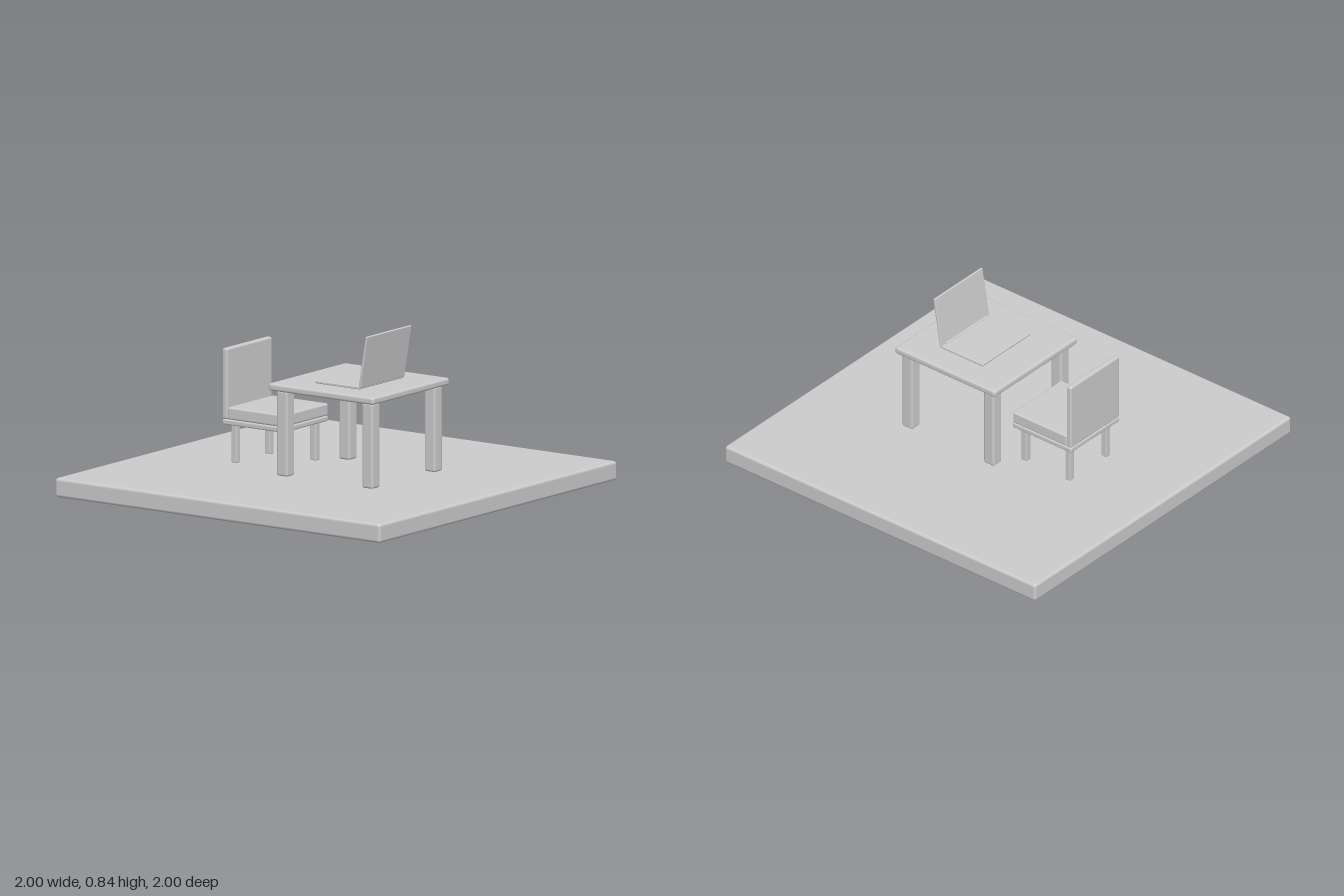
import * as THREE from 'three';
import { RoundedBoxGeometry } from 'three/addons/geometries/RoundedBoxGeometry.js';

const material = new THREE.MeshStandardMaterial({ color: 0xcccccc });

// Rounded box given by its extents along each axis
function block(name, [x0, x1], [y0, y1], [z0, z1], radius) {
  const geometry = new RoundedBoxGeometry(x1 - x0, y1 - y0, z1 - z0, 3, radius);
  const mesh = new THREE.Mesh(geometry, material);
  mesh.name = name;
  mesh.position.set((x0 + x1) / 2, (y0 + y1) / 2, (z0 + z1) / 2);
  return mesh;
}

// Four square legs at the given x and z centres
function addLegs(group, name, xs, zs, y, width, radius) {
  const h = width / 2;
  for (const x of xs) {
    for (const z of zs) {
      group.add(block(name, [x - h, x + h], y, [z - h, z + h], radius));
    }
  }
}

function createTable() {
  const table = new THREE.Group();
  table.name = 'table';
  table.add(block('tableTop', [-0.325, 0.322], [0.527, 0.565], [-0.18, 0.465], 0.013));
  addLegs(table, 'tableLeg', [-0.264, 0.261], [-0.117, 0.408], [0.095, 0.528], 0.067, 0.012);
  return table;
}

function createChair() {
  const chair = new THREE.Group();
  chair.name = 'chair';
  const x = [-0.193, 0.187];
  chair.add(block('seatFrame', x, [0.29, 0.318], [-0.56, -0.183], 0.008));
  chair.add(block('seatCushion', x, [0.318, 0.381], [-0.528, -0.183], 0.01));
  chair.add(block('backrest', x, [0.318, 0.677], [-0.56, -0.528], 0.01));
  addLegs(chair, 'chairLeg', [-0.145, 0.137], [-0.51, -0.229], [0.095, 0.292], 0.034, 0.006);
  return chair;
}

function createLaptop() {
  const laptop = new THREE.Group();
  laptop.name = 'laptop';
  const x = [-0.19, 0.184];
  laptop.add(block('keyboardBase', x, [0.565, 0.578], [0.012, 0.284], 0.004));

  // Hinge bar along the rear edge of the base
  const hinge = new THREE.Mesh(new THREE.CylinderGeometry(0.007, 0.007, 0.316, 16), material);
  hinge.name = 'hinge';
  hinge.rotation.z = Math.PI / 2;
  hinge.position.set(-0.003, 0.578, 0.275);
  laptop.add(hinge);

  // Lid pivots at the hinge and leans toward the front
  const lid = new THREE.Group();
  lid.name = 'lid';
  lid.position.set(0, 0.573, 0.282);
  lid.rotation.x = 0.165;
  lid.add(block('screen', x, [0, 0.267], [-0.006, 0.006], 0.004));
  laptop.add(lid);
  return laptop;
}

export function createModel() {
  const model = new THREE.Group();
  model.name = 'deskScene';
  model.add(block('floorSlab', [-1, 1], [0, 0.097], [-1, 1], 0.015));
  model.add(createTable(), createChair(), createLaptop());
  return model;
}
